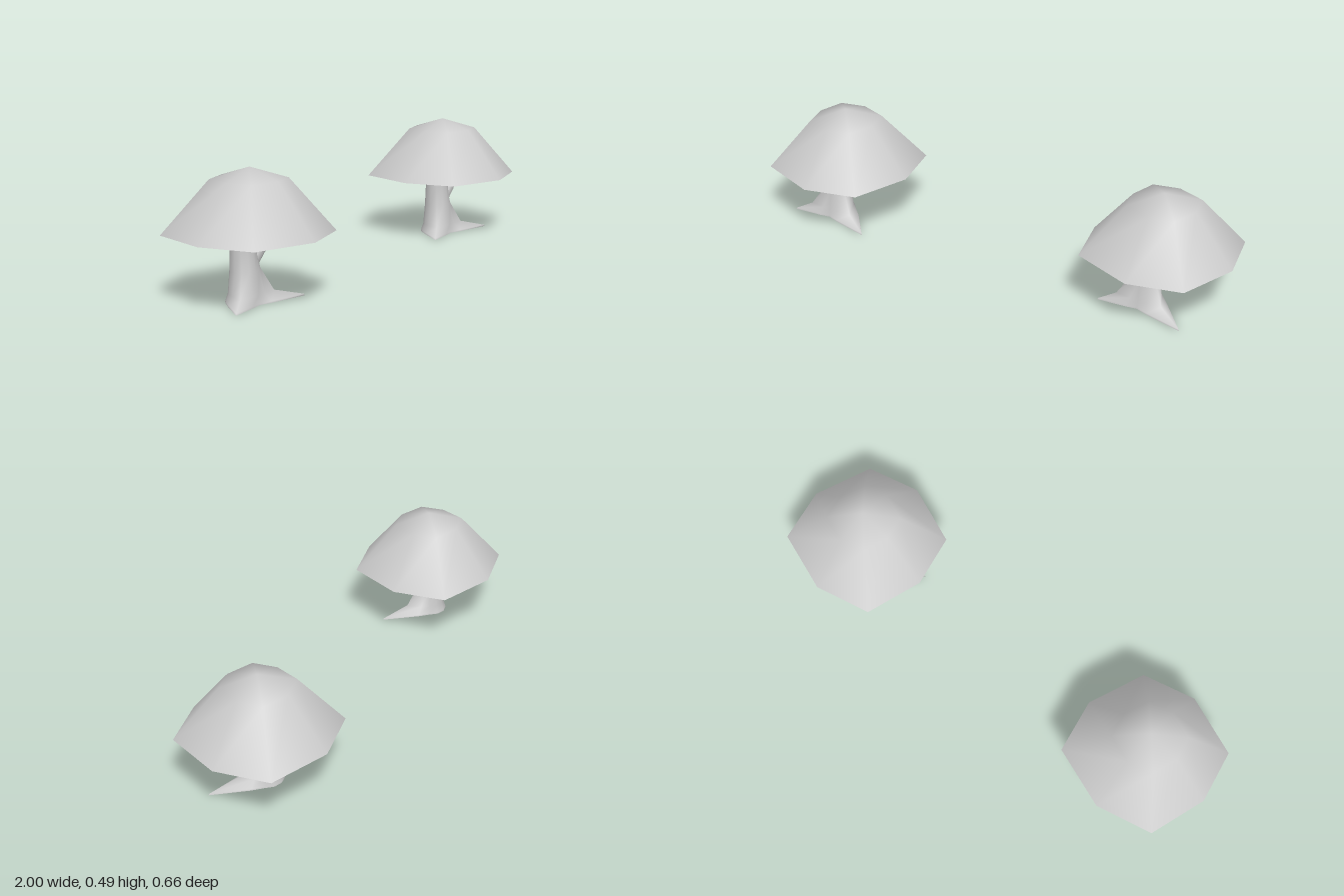
import * as THREE from 'three';
import { mergeVertices } from 'three/addons/utils/BufferGeometryUtils.js';

const material = new THREE.MeshStandardMaterial({ color: 0xcccccc });

// Skin a stack of closed rings (each an array of Vector3); bottom-to-top order faces outward
function loft(rings) {
  const n = rings[0].length, index = [], pos = [];
  rings.forEach(ring => ring.forEach(p => pos.push(p.x, p.y, p.z)));
  for (let i = 0; i < rings.length - 1; i++) {
    for (let k = 0; k < n; k++) {
      const a = i * n + k, b = i * n + (k + 1) % n;
      index.push(a, a + n, b, b, a + n, b + n);
    }
  }
  let g = new THREE.BufferGeometry();
  g.setAttribute('position', new THREE.Float32BufferAttribute(pos, 3));
  g.setIndex(index);
  g = mergeVertices(g, 1e-5);
  g.computeVertexNormals();
  return g;
}

function part(name, geometry) {
  const mesh = new THREE.Mesh(geometry, material);
  mesh.name = name;
  return mesh;
}

// Slightly irregular eight-sided rim, as x, z
const rim = [[0.293, 0], [0.21, 0.23], [0, 0.29], [-0.24, 0.21],
  [-0.29, 0], [-0.225, -0.23], [0, -0.29], [0.245, -0.215]];
const capRing = (scale, y) => rim.map(([x, z]) => new THREE.Vector3(x * scale, y, z * scale));

// Trunk section: round, with two pointed root lobes toward the front
function trunkRing([y, cx, cz, r, rootLeft, rootRight]) {
  return Array.from({ length: 12 }, (_, k) => {
    const a = k * Math.PI / 6;
    const lobe = at => Math.pow(Math.max(0, Math.cos(a - at)), 12);
    const d = r + rootRight * lobe(Math.PI / 6) + rootLeft * lobe(Math.PI * 5 / 6);
    return new THREE.Vector3(cx + d * Math.cos(a), y, cz + d * Math.sin(a));
  });
}

function createTree() {
  const tree = new THREE.Group();

  // Cap: faceted dome outside, shallow hollow beneath
  tree.add(part('cap', loft([capRing(1, 0.245), capRing(0.45, 0.443), capRing(0, 0.485)])));
  tree.add(part('capUnderside', loft([capRing(0, 0.33), capRing(0.775, 0.3), capRing(1, 0.245)])));

  // Trunk with flared roots and a rounded top
  const base = [0, -0.05, 0.01, 0.07, 0.115, 0.165];
  tree.add(part('trunk', loft([
    base,
    [0.006, -0.05, 0.01, 0.069, 0.113, 0.163],
    [0.035, -0.05, 0.013, 0.062, 0.05, 0.05],
    [0.12, -0.05, 0.01, 0.053, 0, 0.01],
    [0.2, -0.055, 0.01, 0.047, 0, 0],
    [0.28, -0.055, 0.01, 0.042, 0, 0],
    [0.31, -0.055, 0.01, 0.026, 0, 0],
    [0.322, -0.055, 0.01, 0, 0, 0],
  ].map(trunkRing))));
  tree.add(part('trunkBase', loft([trunkRing([0, -0.05, 0.01, 0, 0, 0]), trunkRing(base)])));

  // Side branch leaning out to support the cap
  const from = new THREE.Vector3(-0.035, 0.13, 0.005), to = new THREE.Vector3(0.13, 0.27, -0.008);
  const dir = to.clone().sub(from);
  const branch = part('branch', new THREE.CapsuleGeometry(0.038, dir.length(), 3, 10));
  branch.position.copy(from).add(to).multiplyScalar(0.5);
  branch.quaternion.setFromUnitVectors(new THREE.Vector3(0, 1, 0), dir.normalize());
  tree.add(branch);
  return tree;
}

export function createModel() {
  const model = new THREE.Group();
  model.name = 'mushroomTrees';
  [['rightTree', -0.71, 0.04], ['leftTree', 0.707, -0.04]].forEach(([name, x, z]) => {
    const tree = createTree();
    tree.name = name;
    tree.position.set(x, 0, z);
    model.add(tree);
  });
  return model;
}
